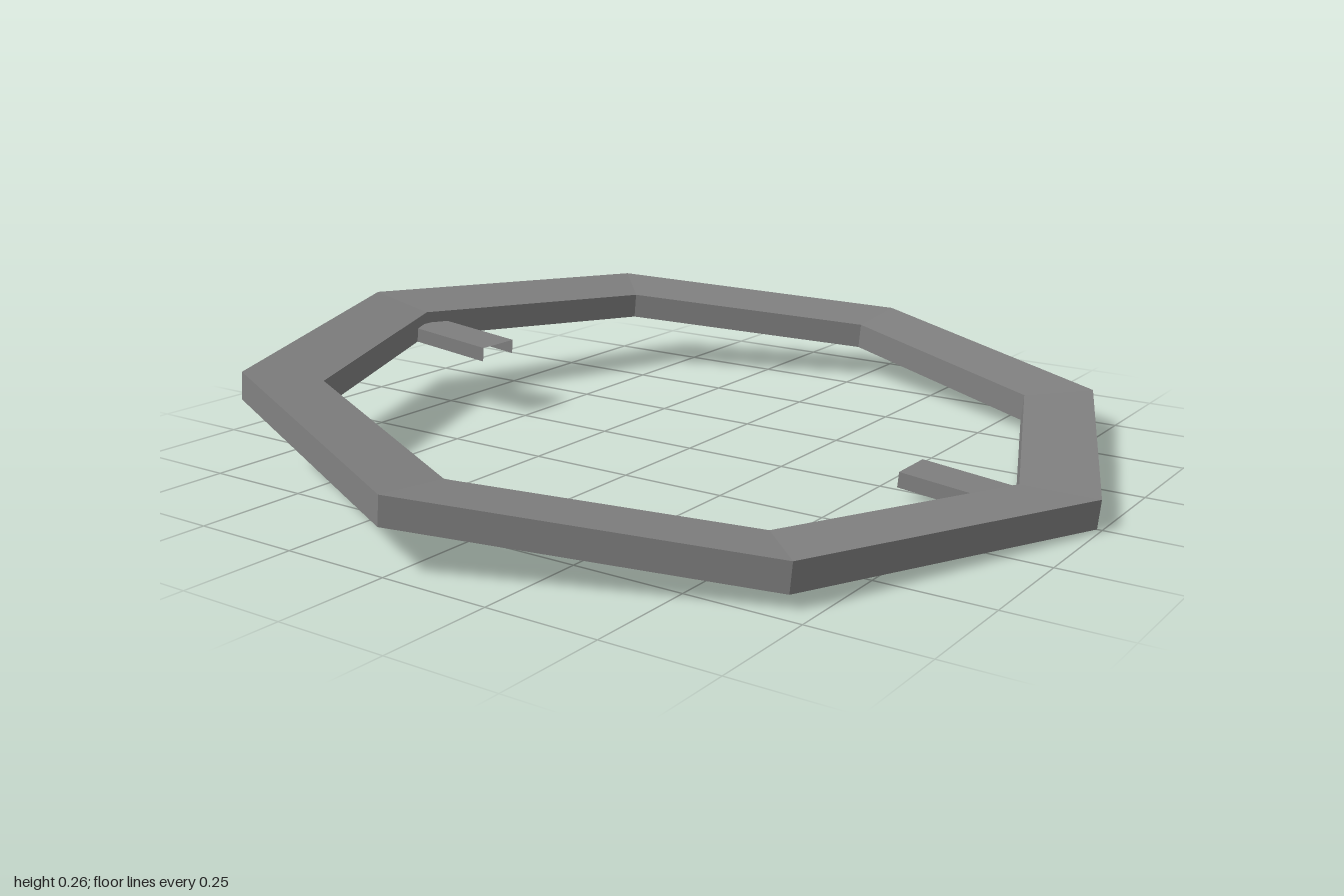
import * as THREE from 'three';

const metal = new THREE.MeshStandardMaterial({ color: 0x808080, side: THREE.DoubleSide, flatShading: true });
metal.name = 'grey metal';

function faceted(geometry) {
  const flat = geometry.toNonIndexed();
  flat.computeVertexNormals();
  return flat;
}

// Octagonal channel, open underneath, its top sloping down towards the hole
function makeRing() {
  const profile = [[1, -0.064], [1, 0], [0.825, -0.017], [0.825, -0.08]];
  const geometry = new THREE.LatheGeometry(profile.map(([r, y]) => new THREE.Vector2(r, y)), 8);
  const ring = new THREE.Mesh(faceted(geometry), metal);
  ring.name = 'octagonalRing';
  return ring;
}

// Folded sheet tab: a flat top with a flange down each side
function makeTab(side) {
  const inner = 0.58, outer = 0.82;
  const section = [[-0.055, -0.08], [-0.055, -0.045], [0.055, -0.045], [0.055, -0.08]];
  const geometry = new THREE.PlaneGeometry(outer - inner, 1, 1, section.length - 1);
  const position = geometry.attributes.position;
  for (let i = 0; i < position.count; i++) {
    const [z, y] = section[Math.floor(i / 2)];
    position.setXYZ(i, position.getX(i) + side * (inner + outer) / 2, y, z);
  }
  const tab = new THREE.Mesh(faceted(geometry), metal);
  tab.name = side > 0 ? 'leftTab' : 'rightTab';
  return tab;
}

export function createModel() {
  const model = new THREE.Group();
  model.name = 'tiltedRing';

  // The whole frame leans down towards +x
  const frame = new THREE.Group();
  frame.name = 'frame';
  frame.add(makeRing(), makeTab(1), makeTab(-1));
  frame.rotation.z = -THREE.MathUtils.degToRad(5.6);
  frame.position.y = 0.162;
  model.add(frame);
  return model;
}
